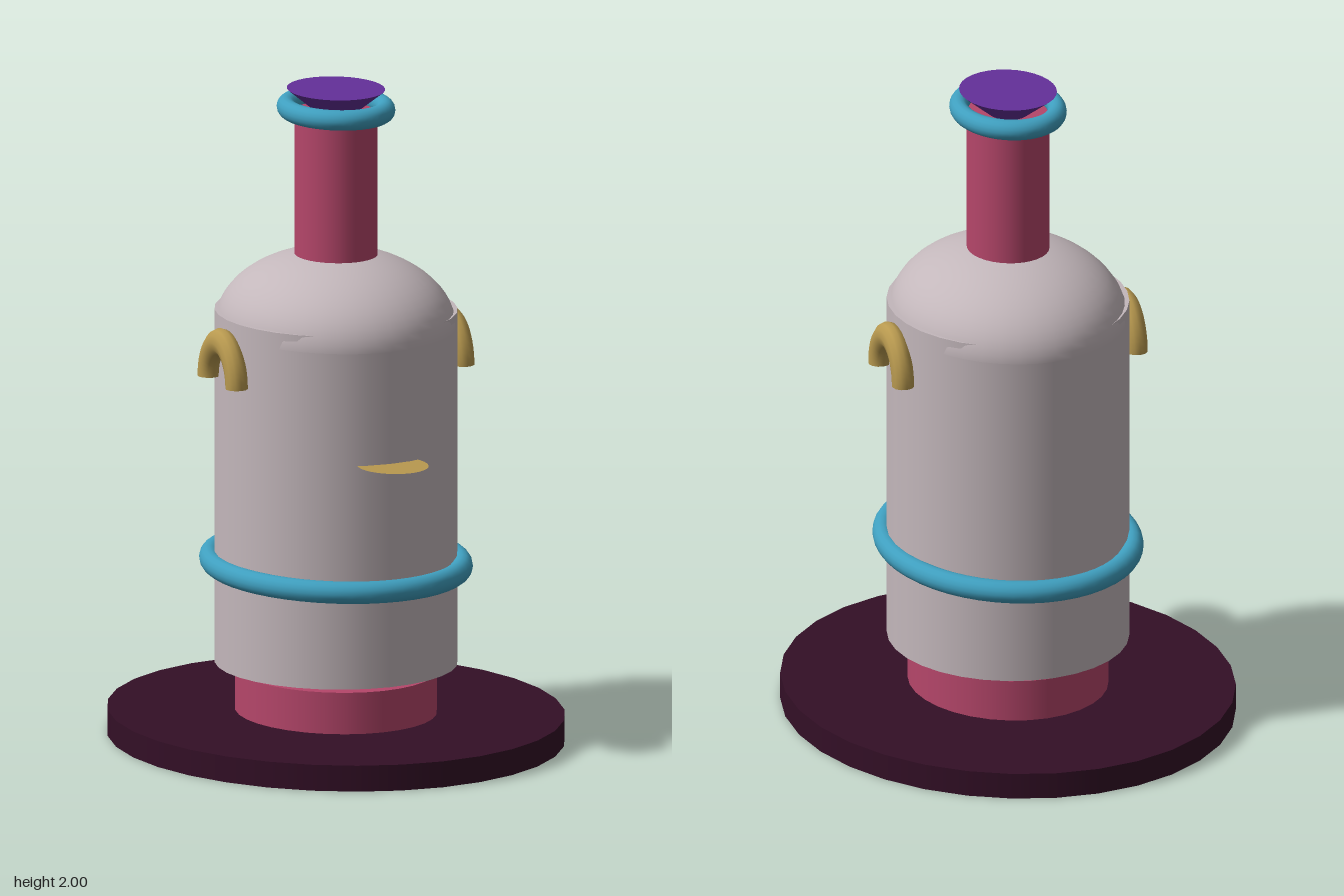
import * as THREE from 'three';

export function createModel() {
  const model = new THREE.Group();

  const material = (name, color, side = THREE.FrontSide) => {
    const m = new THREE.MeshStandardMaterial({ color, side });
    m.name = name;
    return m;
  };
  const plum = material('dark plum', 0x330f26);
  const rose = material('rose', 0xb5466a);
  const shell = material('pale grey', 0xc3b7bb, THREE.DoubleSide);
  const blue = material('blue', 0x3f9fbf);
  const gold = material('gold', 0xb8994f, THREE.DoubleSide);
  const purple = material('purple', 0x64309a);

  const add = (name, geometry, mat, x = 0, y = 0, z = 0) => {
    const mesh = new THREE.Mesh(geometry, mat);
    mesh.name = name;
    mesh.position.set(x, y, z);
    model.add(mesh);
    return mesh;
  };

  // Upright elliptical cylinder with half widths rx and rz
  const drum = (name, rx, rz, y0, y1, mat) =>
    add(name, new THREE.CylinderGeometry(1, 1, y1 - y0, 32).scale(rx, 1, rz), mat, 0, (y0 + y1) / 2);

  // Horizontal elliptical ring; rx and rz reach the centre of the tube
  const ring = (name, rx, rz, tube, y) => {
    const r = (rx + rz) / 2;
    const g = new THREE.TorusGeometry(r, tube, 16, 48).rotateX(Math.PI / 2);
    add(name, g.scale(rx / r, 1, rz / r), blue, 0, y);
  };

  // Base and foot
  drum('base', 0.675, 0.755, 0, 0.08, plum);
  drum('foot', 0.298, 0.332, 0.08, 0.208, rose);

  // Body with a domed shoulder
  drum('body', 0.363, 0.381, 0.23, 1.32, shell);
  add('shoulder', new THREE.SphereGeometry(1, 40, 16, 0, Math.PI * 2, 0, Math.PI / 2)
    .scale(0.354, 0.235, 0.401), shell, 0, 1.27);

  // Neck and the inverted cone stopper
  drum('neck', 0.123, 0.136, 1.44, 1.93, rose);
  add('stopper', new THREE.ConeGeometry(1, 0.12, 32).rotateX(Math.PI)
    .scale(0.145, 1, 0.163), purple, 0, 1.94);

  // Rings
  ring('bodyRing', 0.367, 0.434, 0.034, 0.54);
  ring('neckRing', 0.144, 0.172, 0.031, 1.94);

  // Arched side handles
  for (const side of [-1, 1]) {
    const arch = new THREE.TorusGeometry(0.098, 0.034, 12, 24, Math.PI)
      .scale(1, 1.25, 1).rotateY(Math.PI / 2);
    add(side > 0 ? 'leftHandle' : 'rightHandle', arch, gold, side * 0.377, 1.13, 0);
  }

  // Flat rounded ledge at the front
  add('frontLedge', new THREE.CircleGeometry(1, 32).rotateX(-Math.PI / 2)
    .scale(0.106, 1, 0.119), gold, 0, 0.92, 0.4);

  return model;
}
